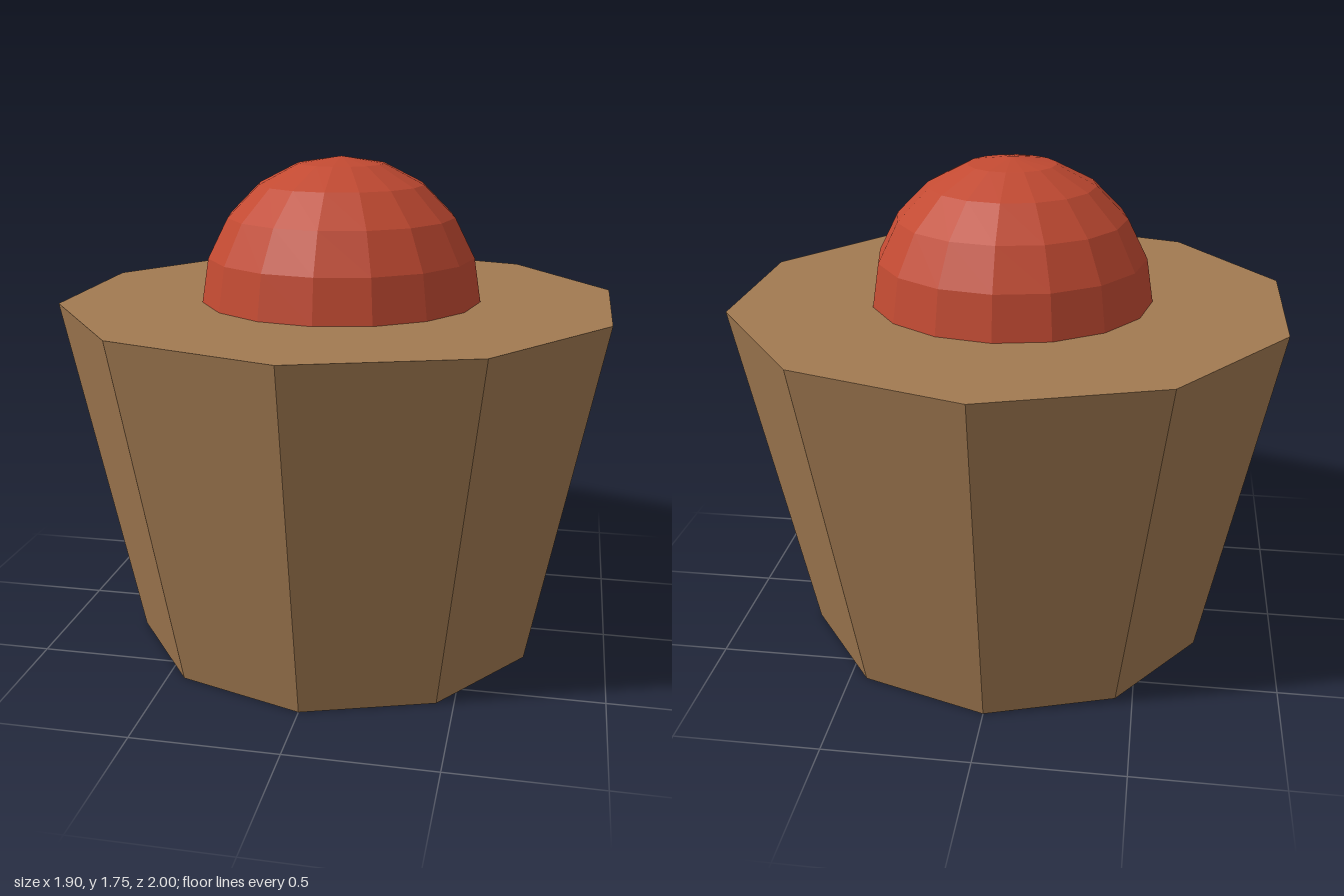
import * as THREE from 'three';

export function createModel() {
  const model = new THREE.Group();
  const paint = (name, color) => {
    const material = new THREE.MeshStandardMaterial({ color });
    material.name = name;
    return material;
  };

  // Adds a faceted part; splitting the faces gives hard, flat normals
  const addPart = (name, geometry, material, y) => {
    const flat = geometry.toNonIndexed();
    flat.computeVertexNormals();
    const mesh = new THREE.Mesh(flat, material);
    mesh.name = name;
    mesh.position.y = y;
    model.add(mesh);
  };

  const height = 1.25;

  // Ten-sided tapered base, a corner facing front
  addPart('base', new THREE.CylinderGeometry(1, 0.75, height, 10), paint('brown', 0xa27a51), height / 2);

  // Half-sphere dome resting on the base
  addPart('dome', new THREE.SphereGeometry(0.5, 16, 5, 0, Math.PI * 2, 0, Math.PI / 2), paint('red', 0xc24a32), height);

  return model;
}
